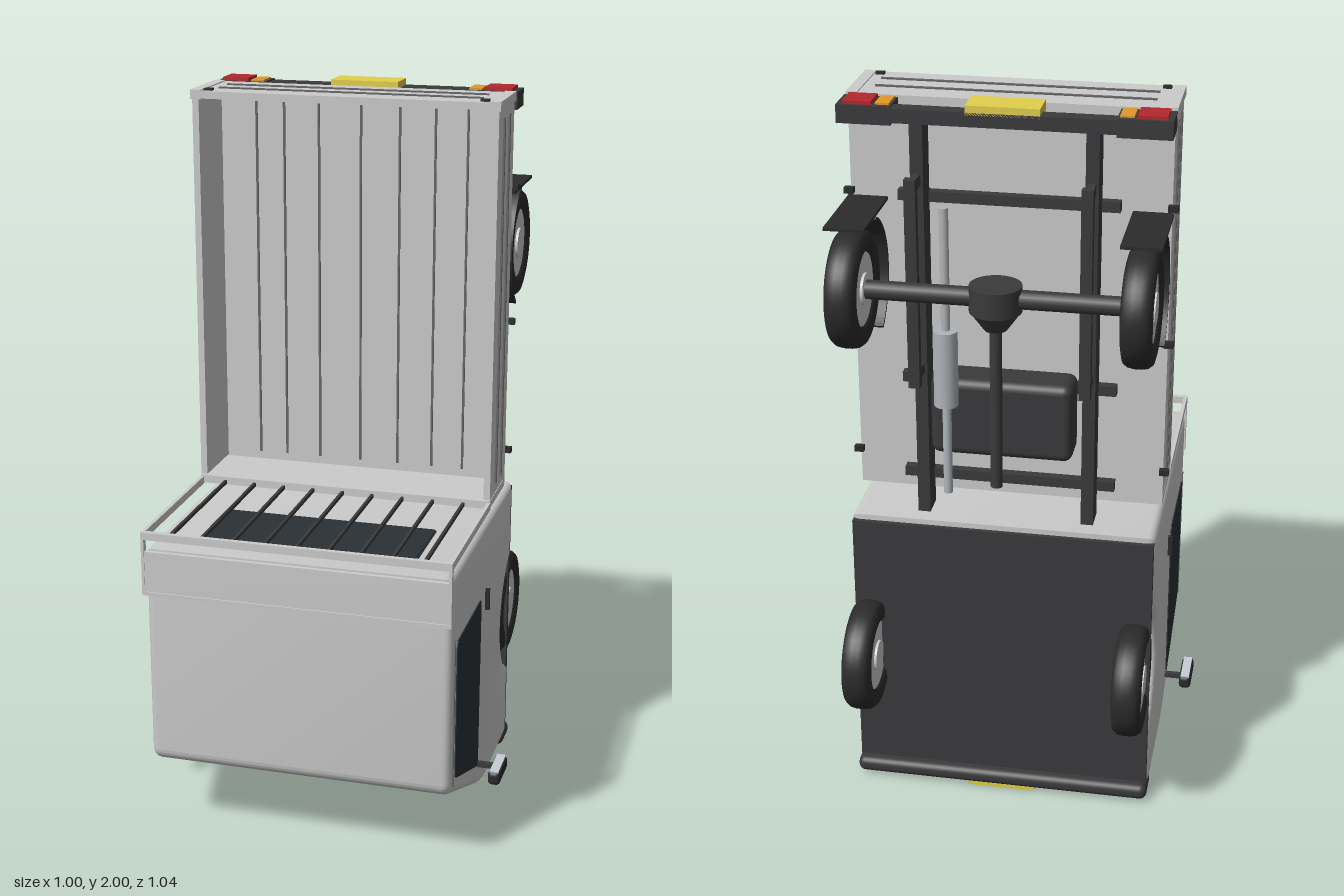
import * as THREE from 'three';
import { toCreasedNormals } from 'three/addons/utils/BufferGeometryUtils.js';
import { RoundedBoxGeometry } from 'three/addons/geometries/RoundedBoxGeometry.js';

const mat = (color) => new THREE.MeshStandardMaterial({ color, side: THREE.DoubleSide });

export function createModel() {
  const root = new THREE.Group();
  const grey = mat(0xcccccc), seam = mat(0x666666), dark = mat(0x3a3a3c), tyre = mat(0x2b2b2b);
  const glass = mat(0x2a3135), red = mat(0xb3282d), amber = mat(0xe09a2a), yellow = mat(0xe2d04c);
  const steel = mat(0xb0b4b8), lens = mat(0xc6ced6);

  const add = (name, geo, material, parent = root) => {
    const mesh = new THREE.Mesh(geo, material);
    mesh.name = name;
    parent.add(mesh);
    return mesh;
  };
  // Box from its limits on each axis, optionally with rounded edges
  const box = (name, m, x0, x1, y0, y1, z0, z1, r = 0) => {
    const s = [x1 - x0, y1 - y0, z1 - z0];
    const geo = r ? new RoundedBoxGeometry(...s, 3, r) : new THREE.BoxGeometry(...s);
    return add(name, geo.translate((x0 + x1) / 2, (y0 + y1) / 2, (z0 + z1) / 2), m);
  };
  // The same box on both sides
  const pair = (name, m, x0, x1, ...rest) => {
    box(name + 'Left', m, x0, x1, ...rest);
    box(name + 'Right', m, -x1, -x0, ...rest);
  };
  const rod = (name, m, r, x, y0, y1, z, n = 24) =>
    add(name, new THREE.CylinderGeometry(r, r, y1 - y0, n).translate(x, (y0 + y1) / 2, z), m);
  // Side outline (z, y) extruded across x, centred on x
  const sideExtrude = (shape, x, width, bevel = 0) => {
    const g = new THREE.ExtrudeGeometry(shape, {
      depth: width - 2 * bevel, curveSegments: 24, bevelEnabled: bevel > 0,
      bevelSize: bevel, bevelThickness: bevel, bevelOffset: -bevel, bevelSegments: 4,
    });
    g.translate(0, 0, -(width - 2 * bevel) / 2).rotateY(-Math.PI / 2).translate(x, 0, 0);
    return toCreasedNormals(g, 0.6);
  };

  // Cab shell with wheel arches
  const wheelZ = -0.365, frontY = 0.435, rearY = 1.535;
  const arch = 0.19, a = Math.acos((-0.295 - wheelZ) / arch), half = arch * Math.sin(a);
  const cab = new THREE.Shape();
  cab.moveTo(-0.295, 0.05);
  cab.lineTo(-0.295, frontY - half);
  cab.absarc(wheelZ, frontY, arch, -a, a, false);
  cab.lineTo(-0.295, 0.84);
  cab.lineTo(0.493, 0.84);
  cab.lineTo(0.493, 0.255);
  cab.quadraticCurveTo(0.493, 0.225, 0.465, 0.213);
  cab.lineTo(0.11, 0.062);
  cab.quadraticCurveTo(0.05, 0.036, 0, 0.036);
  cab.lineTo(-0.28, 0.036);
  add('cabBody', sideExtrude(cab, 0, 0.84, 0.022), grey);
  box('wheelWellCore', grey, -0.31, 0.31, 0.2, 0.67, -0.29, -0.1);
  box('cabUnderside', dark, -0.415, 0.415, 0.04, 0.825, -0.308, -0.288);

  // Windshield lying on the slanted face
  const ws = new THREE.Shape([[-0.345, 0.02], [0.345, 0.02], [0.322, 0.35], [-0.322, 0.35]]
    .map((p) => new THREE.Vector2(...p)));
  const slope = new THREE.Vector3(0, 0.393, 0.92).normalize(), across = new THREE.Vector3(1, 0, 0);
  const wsGeo = new THREE.ExtrudeGeometry(ws, { depth: 0.008, bevelEnabled: false });
  wsGeo.applyMatrix4(new THREE.Matrix4()
    .makeBasis(across, slope, across.clone().cross(slope)).setPosition(0, 0.05, 0.08));
  add('windshield', wsGeo, glass);

  // Side windows, handles, door seams and mirrors
  const win = new THREE.Shape();
  win.moveTo(0.136, 0.165);
  win.lineTo(0.136, 0.63);
  win.quadraticCurveTo(0.136, 0.645, 0.151, 0.645);
  win.lineTo(0.42, 0.645);
  win.quadraticCurveTo(0.435, 0.645, 0.435, 0.63);
  win.lineTo(0.435, 0.265);
  win.quadraticCurveTo(0.435, 0.25, 0.42, 0.243);
  win.lineTo(0.16, 0.145);
  win.quadraticCurveTo(0.136, 0.136, 0.136, 0.165);
  for (const s of [1, -1]) add('sideWindow', sideExtrude(win, s * 0.419, 0.008), glass);
  pair('doorHandle', tyre, 0.415, 0.432, 0.588, 0.65, 0.065, 0.075);
  pair('doorGutter', seam, 0.418, 0.423, 0.235, 0.66, 0.457, 0.462);
  pair('mirrorArm', dark, 0.41, 0.475, 0.132, 0.146, 0.123, 0.138);
  pair('mirrorHousing', tyre, 0.465, 0.5, 0.118, 0.158, 0.09, 0.21, 0.012);
  pair('mirrorFace', lens, 0.47, 0.495, 0.15, 0.16, 0.096, 0.204);

  // Rear window, rounded, on the cab's back wall
  const rear = box('rearWindow', glass, -0.3, 0.3, 0.826, 0.846, 0.155, 0.417, 0.0095);
  rear.castShadow = false;

  // Nose: bumper, plate, lamps, wiper
  box('frontBumper', dark, -0.42, 0.42, 0.01, 0.056, -0.34, -0.237, 0.02);
  box('frontPlate', yellow, -0.095, 0.095, 0, 0.012, -0.33, -0.245);
  pair('headlampFrame', dark, 0.2, 0.345, 0.028, 0.05, -0.055, 0.045);
  pair('headlamp', lens, 0.21, 0.335, 0.023, 0.05, -0.046, 0.036);
  pair('frontIndicator', amber, 0.235, 0.335, 0.028, 0.05, -0.128, -0.092);

  // Headboard guard above the bed's front wall, with bars and a visor
  pair('guardPost', grey, 0.412, 0.422, 0.872, 0.893, 0.04, 0.515);
  box('guardTopRail', grey, -0.422, 0.422, 0.872, 0.893, 0.5, 0.515);
  for (let i = -4; i <= 4; i++) {
    const x = i * 0.0865;
    box('guardBar', dark, x - 0.004, x + 0.004, 0.878, 0.888, 0.04, 0.503);
  }
  box('visorPanel', grey, -0.42, 0.42, 0.72, 0.838, 0.5, 0.513);
  box('visorTrim', grey, -0.42, 0.42, 0.715, 0.725, 0.498, 0.517);
  pair('visorBracket', grey, 0.414, 0.422, 0.715, 0.89, 0.498, 0.515);

  // Cargo bed: floor, walls and pressed ribs
  box('bedFloor', grey, -0.42, 0.42, 0.88, 1.985, -0.162, -0.145);
  pair('bedSide', grey, 0.402, 0.42, 0.9, 1.985, -0.162, 0.042);
  box('bedFrontWall', grey, -0.42, 0.42, 0.875, 0.897, -0.162, 0.045);
  box('tailgate', grey, -0.42, 0.42, 1.967, 1.987, -0.162, 0.045);
  for (const x of [-0.3, -0.22, -0.12, 0, 0.11, 0.21, 0.3])
    box('floorRib', seam, x - 0.003, x + 0.003, 0.92, 1.94, -0.147, -0.141);
  for (const z of [-0.09, -0.022]) {
    pair('sideRib', seam, 0.417, 0.425, 0.93, 1.94, z - 0.004, z + 0.004);
    box('tailgateRib', seam, -0.365, 0.365, 1.982, 1.991, z - 0.004, z + 0.004);
  }
  pair('bedCornerPost', grey, 0.395, 0.425, 1.965, 1.99, -0.162, 0.045);
  pair('tailgateLatch', tyre, 0.367, 0.39, 1.98, 1.993, 0.014, 0.032);
  for (const y of [0.98, 1.355, 1.73])
    pair('ropeHook', tyre, 0.41, 0.436, y - 0.008, y + 0.008, -0.18, -0.162);

  // Chassis
  pair('chassisRail', dark, 0.208, 0.242, 0.83, 1.96, -0.247, -0.178);
  for (const y of [0.93, 1.215, 1.73, 1.945])
    box('crossMember', dark, -0.29, 0.29, y - 0.014, y + 0.014, -0.188, -0.16);
  box('fuelTank', dark, -0.19, 0.19, 1.05, 1.27, -0.308, -0.19, 0.025);
  pair('leafSpring', dark, 0.21, 0.24, 1.25, 1.82, -0.332, -0.306);
  pair('springShackle', dark, 0.215, 0.235, 1.78, 1.81, -0.32, -0.24);
  pair('springHanger', dark, 0.215, 0.235, 1.26, 1.29, -0.32, -0.24);
  rod('driveShaft', dark, 0.016, 0, 1.0, 1.52, wheelZ);
  rod('differential', dark, 0.068, 0, 1.5, 1.57, wheelZ, 32);
  add('differentialNose', new THREE.CylinderGeometry(0.066, 0.03, 0.05, 32).translate(0, 1.475, wheelZ), dark);
  rod('exhaustPipe', steel, 0.012, 0.135, 0.96, 1.76, -0.345, 16);
  rod('muffler', steel, 0.032, 0.135, 1.22, 1.43, -0.35);
  const axle = new THREE.CylinderGeometry(0.025, 0.025, 0.7, 20).rotateZ(Math.PI / 2);
  add('rearAxle', axle.translate(0, rearY, wheelZ), dark);

  // Rear bumper and lamps
  box('rearBumperBar', dark, -0.3, 0.3, 1.945, 1.982, -0.265, -0.222);
  pair('rearLampHousing', dark, 0.285, 0.425, 1.938, 1.986, -0.265, -0.174);
  pair('tailLamp', red, 0.335, 0.41, 1.96, 1.995, -0.256, -0.182);
  pair('rearIndicator', amber, 0.291, 0.327, 1.96, 1.991, -0.25, -0.182);
  box('rearPlate', yellow, -0.095, 0.095, 1.975, 2, -0.265, -0.175);

  // Rear mudguards: flat flap plus curved shell over the tyre
  pair('mudFlap', tyre, 0.32, 0.425, 1.71, 1.718, -0.428, -0.17);
  const guard = new THREE.Shape();
  guard.absarc(wheelZ, rearY, 0.185, -0.95, 1.2, false);
  guard.absarc(wheelZ, rearY, 0.178, 1.2, -0.95, true);
  for (const s of [1, -1]) add('mudguard', sideExtrude(guard, s * 0.371, 0.1), tyre);

  // Wheels
  const tyreGeo = new THREE.LatheGeometry([
    [0.096, -0.03], [0.105, -0.038], [0.125, -0.041], [0.142, -0.037], [0.151, -0.026], [0.154, -0.01],
    [0.154, 0.01], [0.151, 0.026], [0.142, 0.037], [0.125, 0.041], [0.105, 0.038], [0.096, 0.03],
  ].map((p) => new THREE.Vector2(...p)), 48).rotateZ(Math.PI / 2);
  const disc = (r, w) => new THREE.CylinderGeometry(r, r, w, 40).rotateZ(Math.PI / 2);
  const rim = disc(0.1, 0.06), cap = disc(0.042, 0.074);
  for (const y of [frontY, rearY]) for (const s of [1, -1]) {
    const wheel = new THREE.Group();
    wheel.name = (y === frontY ? 'front' : 'rear') + 'Wheel' + (s > 0 ? 'Left' : 'Right');
    add('tyre', tyreGeo, tyre, wheel);
    add('rim', rim, grey, wheel);
    add('hubCap', cap, grey, wheel);
    wheel.position.set(s * 0.372, y, wheelZ);
    root.add(wheel);
  }
  return root;
}
